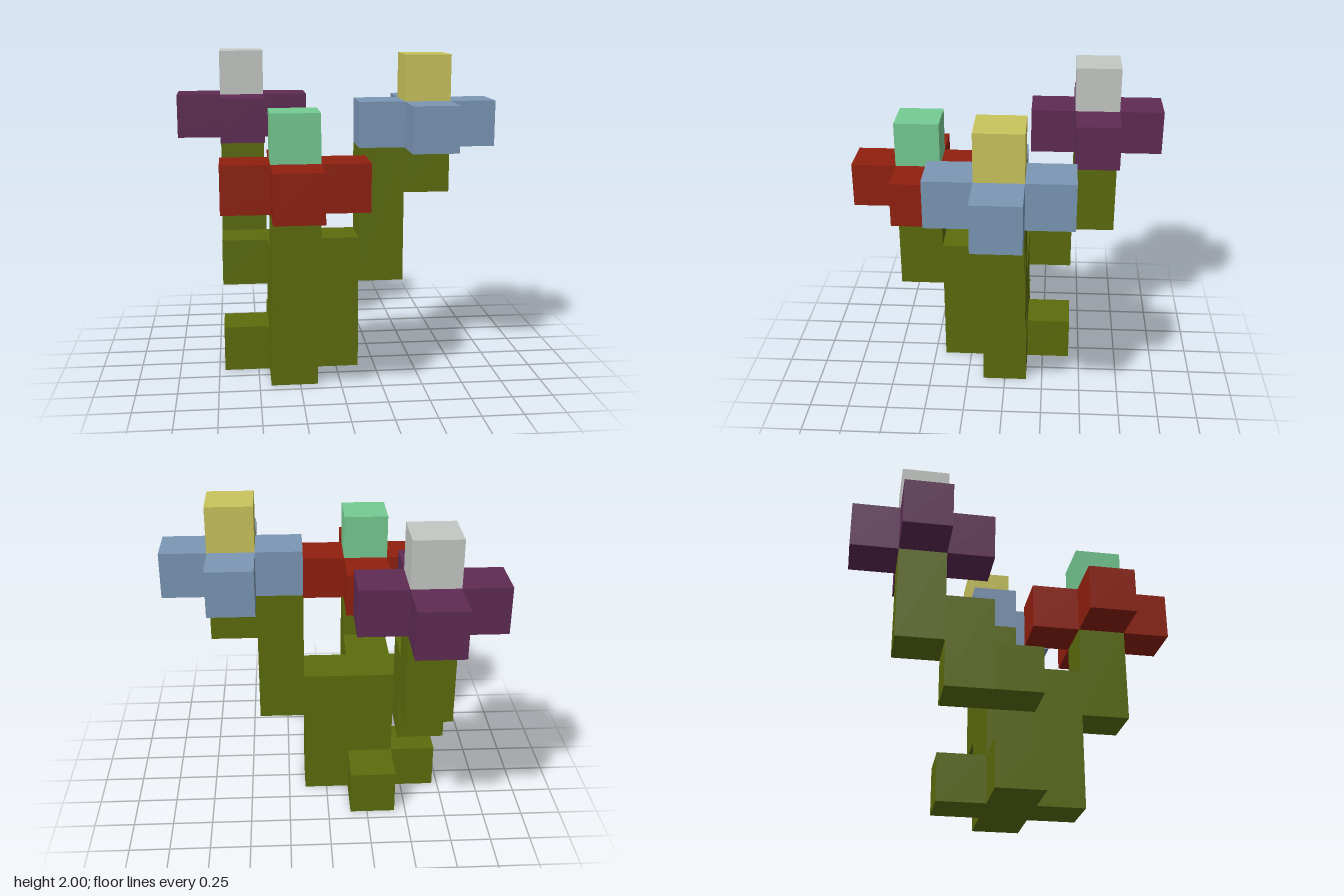
import * as THREE from 'three';

const U = 2 / 7; // one block

const material = (name, color) => {
  const m = new THREE.MeshStandardMaterial({ color });
  m.name = name;
  return m;
};

// Box filling the blocks from cell a to cell b (inclusive); x and z cells are centred on 0, y starts at 0
function blocks(name, mat, a, b = a) {
  const size = a.map((v, i) => (Math.abs(b[i] - v) + 1) * U);
  const mid = a.map((v, i) => ((v + b[i]) / 2) * U);
  const mesh = new THREE.Mesh(new THREE.BoxGeometry(...size), mat);
  mesh.position.set(mid[0], mid[1] + U / 2, mid[2]);
  mesh.name = name;
  return mesh;
}

// Cross of petals with a raised heart in the middle
function flower(name, petalMat, heartMat, [x, y, z]) {
  const g = new THREE.Group();
  g.name = name;
  g.add(
    blocks('petalBar', petalMat, [x - 1, y, z], [x + 1, y, z]),
    blocks('frontPetal', petalMat, [x, y, z + 1]),
    blocks('backPetal', petalMat, [x, y, z - 1]),
    blocks('heart', heartMat, [x, y + 1, z])
  );
  return g;
}

export function createModel() {
  const model = new THREE.Group();
  model.name = 'flowerPlant';

  const olive = material('olive stem', 0x5c6c0c);
  const red = material('red petal', 0x91200e);
  const purple = material('purple petal', 0x5f2b54);
  const blue = material('blue petal', 0x7b97b6);
  const yellow = material('yellow heart', 0xc9c45c);
  const mint = material('mint heart', 0x75cb93);
  const grey = material('pale grey heart', 0xc4c8c4);

  // Stem parts as block runs: name, first cell, last cell
  const stem = new THREE.Group();
  stem.name = 'stem';
  [
    ['trunk', [-1, 0, 0], [0, 2, 0]],
    ['frontTrunk', [-1, 0, 1], [-1, 2, 1]],
    ['rightRoot', [-2, 0, 0], [-2, 0, 0]],
    ['backRoot', [-1, 0, -1], [-1, 0, -1]],
    ['frontBranch', [-1, 2, 2], [-1, 3, 2]],
    ['leftBranch', [1, 2, 0], [1, 4, 0]],
    ['leftBranchTip', [2, 4, 0], [2, 4, 0]],
    ['backBranchBase', [-2, 2, 0], [-2, 2, 0]],
    ['backBranch', [-2, 2, -1], [-2, 3, -1]],
    ['backBranchTip', [-2, 3, -2], [-2, 4, -2]],
  ].forEach(([name, a, b]) => stem.add(blocks(name, olive, a, b)));

  model.add(
    stem,
    flower('redFlower', red, mint, [-1, 4, 2]),
    flower('blueFlower', blue, yellow, [2, 5, 0]),
    flower('purpleFlower', purple, grey, [-2, 5, -2])
  );
  return model;
}
